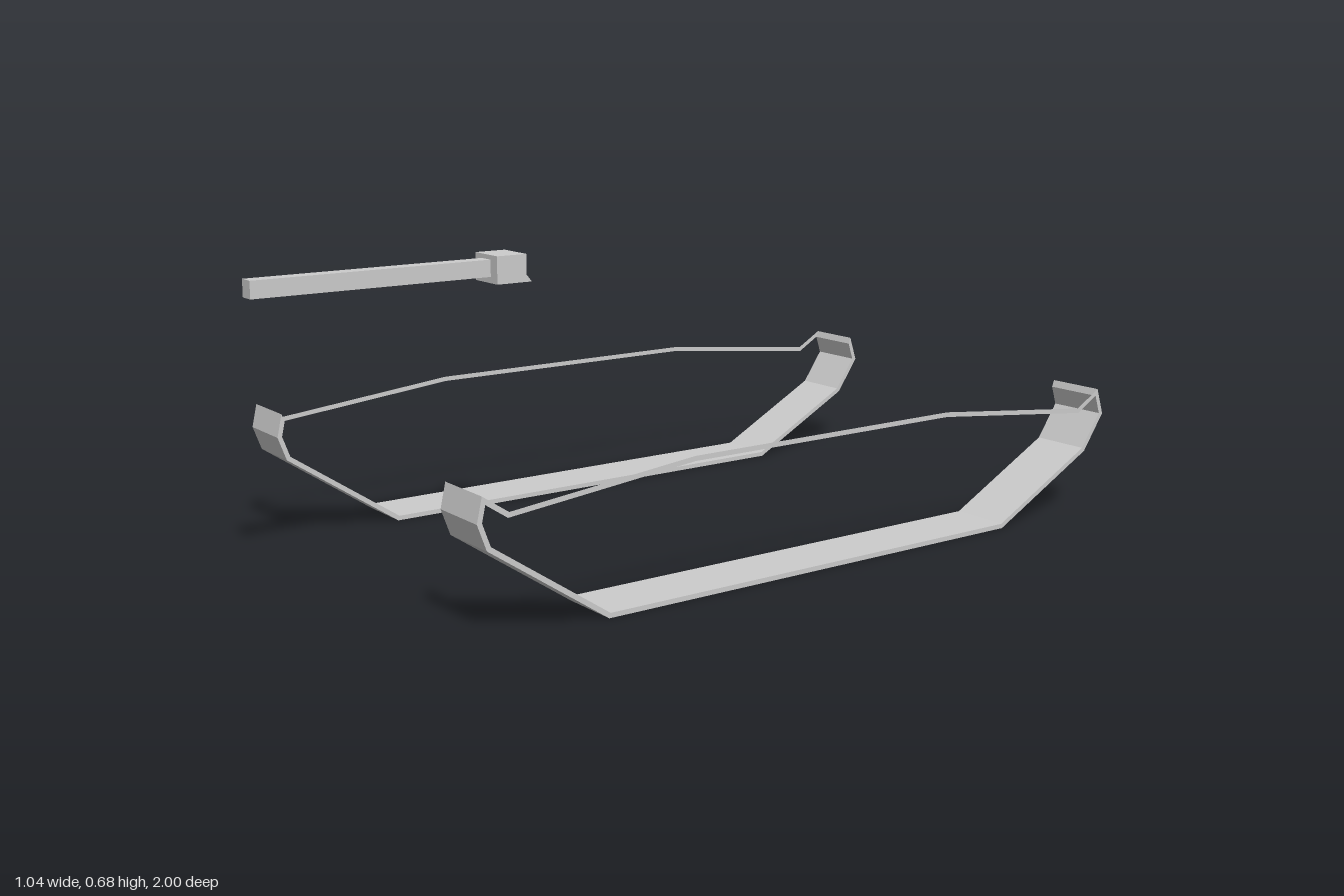
import * as THREE from 'three';

const material = new THREE.MeshStandardMaterial({ color: 0xcccccc, flatShading: true, side: THREE.DoubleSide });

// Track outline as (z, y): front tip, round the underside to the rear tip, back over the top
const outline = [
  [0.766, 0.3], [0.778, 0.246], [0.757, 0.19], [0.474, 0], [-0.66, 0], [-0.94, 0.15], [-1, 0.237], [-0.979, 0.3],
  [-0.91, 0.26], [-0.465, 0.307], [0.257, 0.307], [0.706, 0.26],
].map(([z, y]) => new THREE.Vector2(z, y));
const REAR_TIP = 7;
const THICKNESS = 0.011;
const OUTER_X = 0.52, INNER_X = 0.38;

// Mitred inward offset of a closed clockwise outline
function inset(points, distance) {
  const count = points.length;
  const normal = (a, b) => new THREE.Vector2(b.y - a.y, a.x - b.x).normalize();
  return points.map((p, i) => {
    const n1 = normal(points[(i + count - 1) % count], p);
    const n2 = normal(p, points[(i + 1) % count]);
    return p.clone().addScaledVector(n1.clone().add(n2), distance / (1 + n1.dot(n2)));
  });
}

// Turns a geometry drawn in (z, y) into the side plane
const toSide = (geometry) => geometry.rotateY(-Math.PI / 2);

function addMesh(parent, name, geometry, x = 0, y = 0, z = 0) {
  const mesh = new THREE.Mesh(geometry, material);
  mesh.name = name;
  mesh.position.set(x, y, z);
  parent.add(mesh);
  return mesh;
}

// Folded sheet spanning x = -half..half along a (z, y) path
function foldedSheet(path, half) {
  const positions = [];
  for (let i = 0; i < path.length - 1; i++) {
    const [z0, y0] = path[i], [z1, y1] = path[i + 1];
    positions.push(-half, y0, z0, half, y0, z0, half, y1, z1);
    positions.push(-half, y0, z0, half, y1, z1, -half, y1, z1);
  }
  const geometry = new THREE.BufferGeometry();
  geometry.setAttribute('position', new THREE.Float32BufferAttribute(positions, 3));
  geometry.computeVertexNormals();
  return geometry;
}

export function createModel() {
  const model = new THREE.Group();
  model.name = 'tracksAndGun';

  // Tracks: a wide belt below and at the ends, a thin outer edge along the top
  const inner = inset(outline, THICKNESS);
  const lower = (list) => list.slice(0, REAR_TIP + 1);
  const upper = (list) => [...list.slice(REAR_TIP), list[0]];
  const ribbon = (part) => new THREE.Shape([...part(outline), ...part(inner).reverse()]);
  const width = OUTER_X - INNER_X;
  for (const [name, side] of [['left', 1], ['right', -1]]) {
    const track = new THREE.Group();
    track.name = name + 'Track';
    const belt = toSide(new THREE.ExtrudeGeometry(ribbon(lower), { depth: width, bevelEnabled: false }));
    addMesh(track, name + 'Belt', belt, side > 0 ? OUTER_X : -INNER_X);
    const edge = toSide(new THREE.ShapeGeometry(ribbon(upper)));
    addMesh(track, name + 'UpperEdge', edge, side * OUTER_X);
    model.add(track);
  }

  // Gun: square barrel in a mount that is open at the back
  const gun = new THREE.Group();
  gun.name = 'gun';
  addMesh(gun, 'barrel', new THREE.BoxGeometry(0.037, 0.038, 0.56), 0, 0.655, 0.72);
  const half = 0.046;
  const sheet = [[0.352, 0.622], [0.44, 0.622], [0.44, 0.684], [0.365, 0.684]];
  addMesh(gun, 'mountShell', foldedSheet(sheet, half));
  const cheek = new THREE.Shape([...sheet, [0.365, 0.638]].map(([z, y]) => new THREE.Vector2(z, y)));
  for (const side of [1, -1]) {
    addMesh(gun, side > 0 ? 'leftMountCheek' : 'rightMountCheek', toSide(new THREE.ShapeGeometry(cheek)), side * half);
  }
  model.add(gun);
  return model;
}
